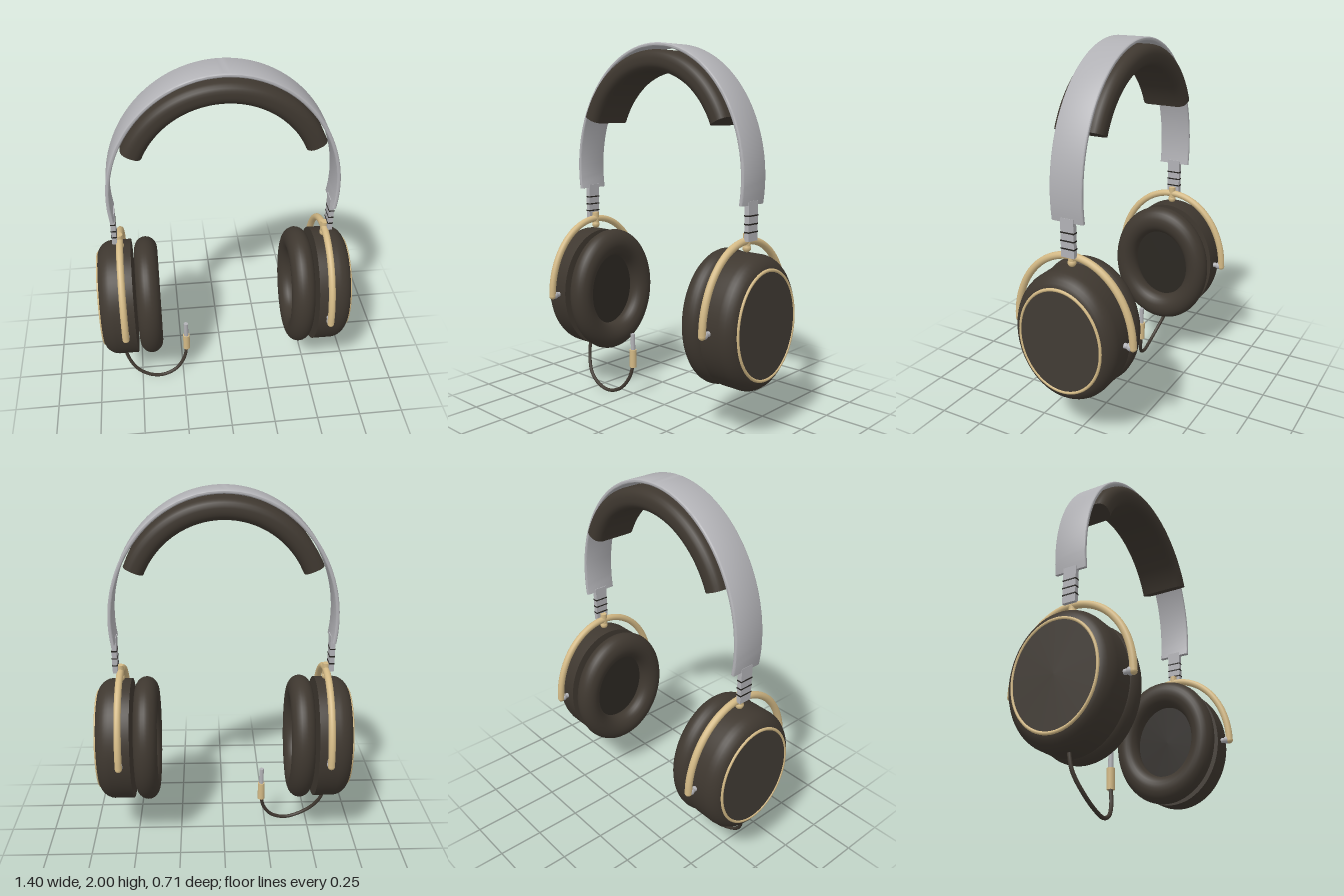
import * as THREE from 'three';
import { toCreasedNormals } from 'three/addons/utils/BufferGeometryUtils.js';

const mat = (name, color) => {
  const m = new THREE.MeshStandardMaterial({ color });
  m.name = name;
  return m;
};

const CUP_Y = 0.608; // height of the ear cup centres
const OVAL = 0.835;  // cup depth relative to its height

// Rounded rectangle outline, u = thickness, v = width
function roundedSection(hu, hv, r) {
  const pts = [];
  [[1, 1], [-1, 1], [-1, -1], [1, -1]].forEach(([su, sv], q) => {
    for (let i = 0; i <= 5; i++) {
      const a = (q + i / 5) * Math.PI / 2;
      pts.push([su * (hu - r) + r * Math.cos(a), sv * (hv - r) + r * Math.sin(a)]);
    }
  });
  return pts;
}

// Sweeps a section along an elliptical arch in the xy plane, with closed ends
function archGeometry(cy, a, b, t0, t1, section, steps) {
  const pos = [], idx = [], n = section.length;
  for (let i = 0; i <= steps; i++) {
    const t = t0 + (t1 - t0) * i / steps;
    const c = Math.cos(t), s = Math.sin(t);
    const len = Math.hypot(b * c, a * s);
    for (const [u, v] of section) pos.push(a * c + u * b * c / len, cy + b * s + u * a * s / len, v);
  }
  for (let i = 0; i < steps; i++) {
    for (let j = 0; j < n; j++) {
      const p = i * n + j, q = i * n + (j + 1) % n;
      idx.push(p, p + n, q, q, p + n, q + n);
    }
  }
  const last = steps * n;
  for (let j = 1; j < n - 1; j++) {
    idx.push(0, j, j + 1);
    idx.push(last, last + j + 1, last + j);
  }
  const g = new THREE.BufferGeometry();
  g.setAttribute('position', new THREE.Float32BufferAttribute(pos, 3));
  g.setIndex(idx);
  g.computeVertexNormals();
  return toCreasedNormals(g, 0.7);
}

// Turns a y-axis shape to face +x, makes it oval and lifts it to cup height
const toCup = (g, x = 0) => g.rotateZ(-Math.PI / 2).scale(1, 1, OVAL).translate(x, CUP_Y, 0);

export function createModel() {
  const dark = mat('dark brown leather', 0x3f3830);
  const plate = mat('dark face plate', 0x413b34);
  const mesh = mat('speaker mesh', 0x2b2722);
  const gold = mat('pale gold', 0xd3b985);
  const silver = mat('silver', 0xb2b2b6);
  const black = mat('near black', 0x25231f);

  const root = new THREE.Group();
  root.name = 'headphones';
  const add = (parent, name, geometry, material, x = 0, y = 0, z = 0) => {
    const m = new THREE.Mesh(geometry, material);
    m.name = name;
    m.position.set(x, y, z);
    parent.add(m);
    return m;
  };

  // Headband and its cushion
  add(root, 'headband', archGeometry(1.32, 0.592, 0.67, -0.18, Math.PI + 0.18,
    roundedSection(0.01, 0.09, 0.007), 80), silver);
  add(root, 'headbandPad', archGeometry(1.39, 0.5, 0.52, 0.42, Math.PI - 0.42,
    roundedSection(0.055, 0.134, 0.045), 48), dark);

  // One complete side; it is symmetric in z, so a half turn gives the other
  for (const side of ['left', 'right']) {
    const g = new THREE.Group();
    g.name = side + 'Side';
    if (side === 'right') g.rotation.y = Math.PI;
    root.add(g);

    // Slider with notches
    add(g, 'slider', new THREE.BoxGeometry(0.026, 0.2, 0.074), silver, 0.584, 1.12, 0);
    for (const y of [1.065, 1.105, 1.147]) {
      add(g, 'sliderNotch', new THREE.BoxGeometry(0.029, 0.007, 0.077), black, 0.584, y, 0);
    }

    // Yoke arch, collar and pivots
    const arch = [];
    for (let i = 0; i <= 24; i++) {
      const t = Math.PI * i / 24;
      arch.push(new THREE.Vector3(0.56, 0.6 + 0.417 * Math.sin(t), 0.338 * Math.cos(t)));
    }
    add(g, 'yoke', new THREE.TubeGeometry(new THREE.CatmullRomCurve3(arch), 64, 0.019, 14), gold);
    add(g, 'yokeCollar', new THREE.CylinderGeometry(0.019, 0.019, 0.07, 20), gold, 0.56, 1.02, 0);
    add(g, 'yokeKnob', new THREE.SphereGeometry(0.022, 20, 14), gold, 0.56, 0.982, 0);
    for (const s of [1, -1]) {
      add(g, 'yokeEnd', new THREE.SphereGeometry(0.019, 16, 12), gold, 0.56, 0.602, s * 0.338);
      add(g, 'pivotPin', new THREE.CylinderGeometry(0.014, 0.014, 0.07, 16).rotateX(Math.PI / 2),
        silver, 0.56, 0.605, s * 0.305);
      add(g, 'pivotBall', new THREE.SphereGeometry(0.021, 16, 12), silver, 0.56, 0.605, s * 0.322);
    }

    // Ear cup shell
    const profile = [[0, 0.505], [0.348, 0.505], [0.348, 0.615], [0.345, 0.632], [0.337, 0.65],
      [0.324, 0.667], [0.307, 0.681], [0.288, 0.69], [0, 0.69]].map(p => new THREE.Vector2(...p));
    add(g, 'earCup', toCup(toCreasedNormals(new THREE.LatheGeometry(profile, 64), 0.6)), dark);

    // Outer plate with its trim ring
    add(g, 'facePlate', toCup(new THREE.CylinderGeometry(0.275, 0.275, 0.008, 64), 0.69), plate);
    add(g, 'trimRing', toCup(new THREE.TorusGeometry(0.278, 0.009, 10, 72).rotateX(Math.PI / 2), 0.69), gold);

    // Ear cushion and speaker disc
    add(g, 'earCushion', toCup(new THREE.TorusGeometry(0.281, 0.076, 24, 72)
      .rotateX(Math.PI / 2).scale(1, 0.85, 1), 0.426), dark);
    add(g, 'speakerDisc', toCup(new THREE.CylinderGeometry(0.24, 0.24, 0.02, 48), 0.465), mesh);
  }

  // Cable and plug
  const path = [[-0.59, 0.29, 0.025], [-0.583, 0.18, 0.045], [-0.53, 0.085, 0.075], [-0.45, 0.03, 0.085],
    [-0.37, 0.014, 0.078], [-0.29, 0.045, 0.062], [-0.24, 0.115, 0.042], [-0.223, 0.19, 0.027]];
  const cable = new THREE.CatmullRomCurve3(path.map(p => new THREE.Vector3(...p)));
  add(root, 'cable', new THREE.TubeGeometry(cable, 64, 0.01, 10), dark);
  add(root, 'plugGrip', new THREE.CylinderGeometry(0.02, 0.02, 0.105, 20), gold, -0.223, 0.233, 0.027);
  add(root, 'plugTip', new THREE.CylinderGeometry(0.013, 0.013, 0.095, 16), silver, -0.223, 0.332, 0.027);

  return root;
}
